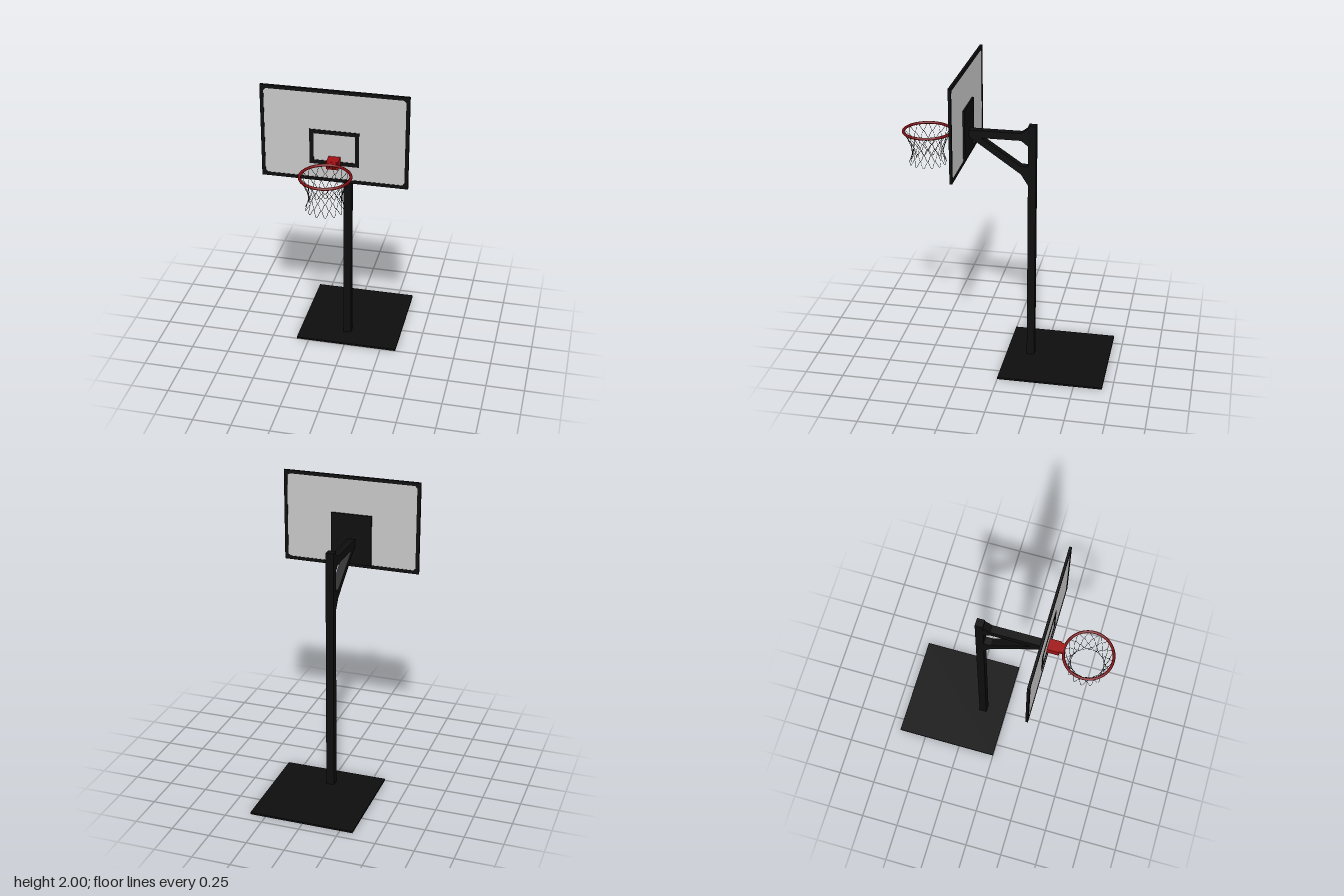
import * as THREE from 'three';
import { mergeGeometries } from 'three/addons/utils/BufferGeometryUtils.js';

const mat = (name, color, extra = {}) => {
  const m = new THREE.MeshStandardMaterial({ color, ...extra });
  m.name = name;
  return m;
};

export function createModel() {
  const black = mat('black steel', 0x0d0d0d);
  const grey = mat('grey panel', 0xc6c6c6);
  const red = mat('red bracket', 0xa01013);
  const darkRed = mat('dark red rim', 0x7a0c10);
  const cord = mat('dark net cord', 0x1c1c1c);
  const group = new THREE.Group();

  const add = (name, geometry, material) => {
    const mesh = new THREE.Mesh(geometry, material);
    mesh.name = name;
    group.add(mesh);
    return mesh;
  };
  // Box given by its minimum and maximum corners
  const box = (name, material, [x0, y0, z0], [x1, y1, z1]) =>
    add(name, new THREE.BoxGeometry(x1 - x0, y1 - y0, z1 - z0), material)
      .position.set((x0 + x1) / 2, (y0 + y1) / 2, (z0 + z1) / 2);

  const polygon = (Type, pts) => new Type(pts.map(p => new THREE.Vector2(...p)));

  // Rectangular border of width w, inner corners cut by c, extruded from z0 to z1
  const border = (name, x0, y0, x1, y1, w, c, z0, z1) => {
    const shape = polygon(THREE.Shape, [[x0, y0], [x1, y0], [x1, y1], [x0, y1]]);
    const [a, b, d, e] = [x0 + w, y0 + w, x1 - w, y1 - w];
    shape.holes.push(polygon(THREE.Path, [
      [a + c, b], [a, b + c], [a, e - c], [a + c, e],
      [d - c, e], [d, e - c], [d, b + c], [d - c, b]]));
    const geo = new THREE.ExtrudeGeometry(shape, { depth: z1 - z0, bevelEnabled: false });
    geo.translate(0, 0, z0);
    add(name, geo, black);
  };

  // Base and post
  box('basePlate', black, [-0.333, 0, -0.685], [0.353, 0.012, 0]);
  box('post', black, [-0.036, 0.012, -0.185], [0.016, 1.636, -0.135]);

  // Triangular support arm with flared ends at the post
  const arm = polygon(THREE.Shape, [
    [0.245, 1.585], [-0.09, 1.585], [-0.137, 1.62], [-0.15, 1.62],
    [-0.15, 1.235], [-0.137, 1.235], [-0.09, 1.31], [0.245, 1.543]]);
  arm.holes.push(polygon(THREE.Path, [
    [0.165, 1.537], [-0.09, 1.537], [-0.134, 1.502], [-0.134, 1.365], [-0.09, 1.365]]));
  const armGeo = new THREE.ExtrudeGeometry(arm, { depth: 0.05, bevelEnabled: false });
  armGeo.rotateY(-Math.PI / 2);
  armGeo.translate(0.016, 0, 0);
  add('supportArm', armGeo, black);

  // Backboard, its frame, target square and mounting plate
  box('backboardPanel', grey, [-0.445, 1.405, 0.255], [0.441, 1.99, 0.265]);
  border('backboardFrame', -0.457, 1.395, 0.453, 2, 0.022, 0.015, 0.252, 0.268);
  border('targetSquare', -0.156, 1.508, 0.151, 1.737, 0.026, 0, 0.264, 0.268);
  box('mountingPlate', black, [-0.14, 1.415, 0.243], [0.13, 1.75, 0.256]);

  // Rim bracket
  box('bracketBlock', red, [-0.037, 1.515, 0.265], [0.037, 1.566, 0.34]);
  box('bracketTongue', red, [-0.03, 1.536, 0.34], [0.03, 1.565, 0.362]);

  // Rim
  const rim = new THREE.TorusGeometry(0.152, 0.009, 10, 64);
  rim.rotateX(Math.PI / 2);
  add('rim', rim, darkRed).position.set(0, 1.556, 0.515);

  // Net: stacked wavy cords that meet at their crests
  const loops = 14, rows = 5, top = 1.553, bottom = 1.342;
  const radius = new THREE.SplineCurve([
    [0, 0.147], [0.3, 0.124], [0.62, 0.104], [0.82, 0.103], [1, 0.12]
  ].map(p => new THREE.Vector2(...p)));
  const amp = (top - bottom) / rows / 2;
  const cords = [];
  for (let k = 0; k < rows; k++) {
    const pts = [];
    for (let i = 0; i < loops * 8; i++) {
      const a = i / (loops * 8) * Math.PI * 2;
      const y = top - amp * (2 * k + 1) + amp * Math.cos(loops * a + k * Math.PI);
      const r = radius.getPoint((top - y) / (top - bottom)).y;
      pts.push(new THREE.Vector3(r * Math.sin(a), y, 0.515 + r * Math.cos(a)));
    }
    const curve = new THREE.CatmullRomCurve3(pts, true);
    cords.push(new THREE.TubeGeometry(curve, loops * 12, 0.0014, 4, true));
  }
  add('net', mergeGeometries(cords), cord);

  return group;
}
